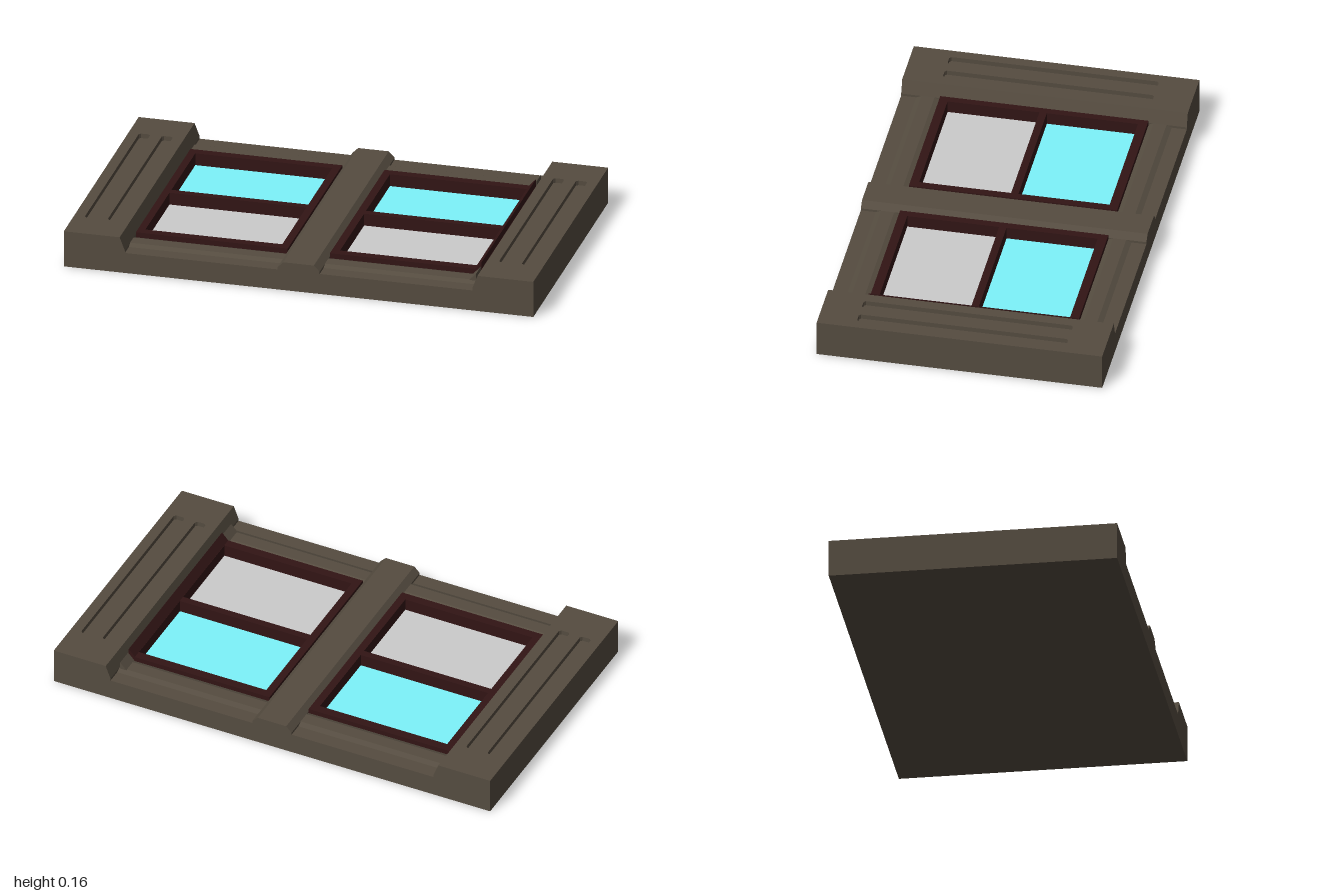
import * as THREE from 'three';

const stone = new THREE.MeshStandardMaterial({ color: 0x554c40, flatShading: true });
const wood = new THREE.MeshStandardMaterial({ color: 0x321515, flatShading: true });
const blueGlass = new THREE.MeshStandardMaterial({ color: 0x7cf4fb });
const greyGlass = new THREE.MeshStandardMaterial({ color: 0xcccccc });

const poly = (pts) => new THREE.Shape(pts.map(([a, b]) => new THREE.Vector2(a, b)));
const rect = (x0, x1, z0, z1) => [[x0, z0], [x1, z0], [x1, z1], [x0, z1]];

// Outline with clipped corners, used for the pillar flutes
function slot(x0, x1, z0, z1, c) {
  return [[x0 + c, z0], [x1 - c, z0], [x1, z0 + c], [x1, z1 - c],
    [x1 - c, z1], [x0 + c, z1], [x0, z1 - c], [x0, z0 + c]];
}

// Cross-section in x/y, swept along z
function sweepZ(pts, z0, z1) {
  return new THREE.ExtrudeGeometry(poly(pts), { depth: z1 - z0, bevelEnabled: false }).translate(0, 0, z0);
}

// Cross-section in z/y, swept along x
function sweepX(pts, x0, x1) {
  return new THREE.ExtrudeGeometry(poly(pts.map(([z, y]) => [-z, y])), { depth: x1 - x0, bevelEnabled: false })
    .rotateY(Math.PI / 2).translate(x0, 0, 0);
}

// Plan outline in x/z with holes, raised from y0 to y1
function plate(outline, holes, y0, y1) {
  // Reversed after the flip, so the outline stays counter-clockwise and hole walls face inward
  const flip = (pts) => pts.map(([x, z]) => [x, -z]).reverse();
  const shape = poly(flip(outline));
  shape.holes = holes.map((h) => poly(flip(h).reverse()));
  return new THREE.ExtrudeGeometry(shape, { depth: y1 - y0, bevelEnabled: false })
    .rotateX(-Math.PI / 2).translate(0, y0, 0);
}

export function createModel() {
  const group = new THREE.Group();
  const add = (name, geometry, material) => {
    const mesh = new THREE.Mesh(geometry, material);
    mesh.name = name;
    group.add(mesh);
  };

  // Backing slab and central mullion
  add('backSlab', plate(rect(-0.74, 0.74, -0.6, 0.6), [], 0, 0.055), stone);
  add('mullion', sweepZ([[-0.09, 0.055], [0.09, 0.055], [0.09, 0.1], [0.065, 0.125],
    [-0.065, 0.125], [-0.09, 0.1]], -0.6, 0.6), stone);

  for (const s of [-1, 1]) {
    const side = s > 0 ? 'left' : 'right';
    const order = (a, b) => (s > 0 ? [a, b] : [-b, -a]);

    // Side pillar with a sloped inner edge and two sunk flutes
    add(side + 'Pillar', sweepZ([[0.74, 0], [1, 0], [1, 0.138], [0.775, 0.138], [0.775, 0.158],
      [0.762, 0.158], [0.74, 0.1]].map(([x, y]) => [s * x, y]), -0.6, 0.6), stone);
    const flutes = [[0.81, 0.857], [0.907, 0.955]].map(([a, b]) => slot(...order(a, b), -0.44, 0.44, 0.008));
    add(side + 'PillarFace', plate(rect(...order(0.775, 1), -0.6, 0.6), flutes, 0.138, 0.158), stone);

    // Ledges with a raised moulding at both ends of the window
    for (const e of [-1, 1]) {
      const ledge = [[0.6, 0.055], [0.6, 0.09], [0.537, 0.09], [0.515, 0.1],
        [0.46, 0.1], [0.435, 0.09], [0.435, 0.055]];
      add(side + (e > 0 ? 'FrontLedge' : 'BackLedge'),
        sweepX(ledge.map(([z, y]) => [e * z, y]), ...order(0.09, 0.74)), stone);
    }

    // Window frame with crossbar, and recessed panes
    const [g0, g1] = order(0.123, 0.706);
    add(side + 'WindowFrame', plate(rect(...order(0.09, 0.737), -0.44, 0.435),
      [rect(g0, g1, -0.402, -0.019), rect(g0, g1, 0.012, 0.398)], 0.055, 0.113), wood);
    add(side + 'BackPane', plate(rect(g0, g1, -0.402, -0.019), [], 0.05, 0.06), blueGlass);
    add(side + 'FrontPane', plate(rect(g0, g1, 0.012, 0.398), [], 0.05, 0.06), greyGlass);
  }

  // Raised wedge along the outer edge of the left window
  const wedge = [[0.706, 0.112], [0.735, 0.112], [0.735, 0.145]];
  add('raisedJamb', sweepZ(wedge, -0.44, 0.435), wood);

  // Upturned ends of the ledge mouldings beside it
  for (const e of [-1, 1]) {
    const end = [[0.706, 0.099], [0.735, 0.099], [0.735, 0.13]];
    add('mouldingEnd', sweepZ(end, e * 0.4825 - 0.0375, e * 0.4825 + 0.0375), stone);
  }
  return group;
}
